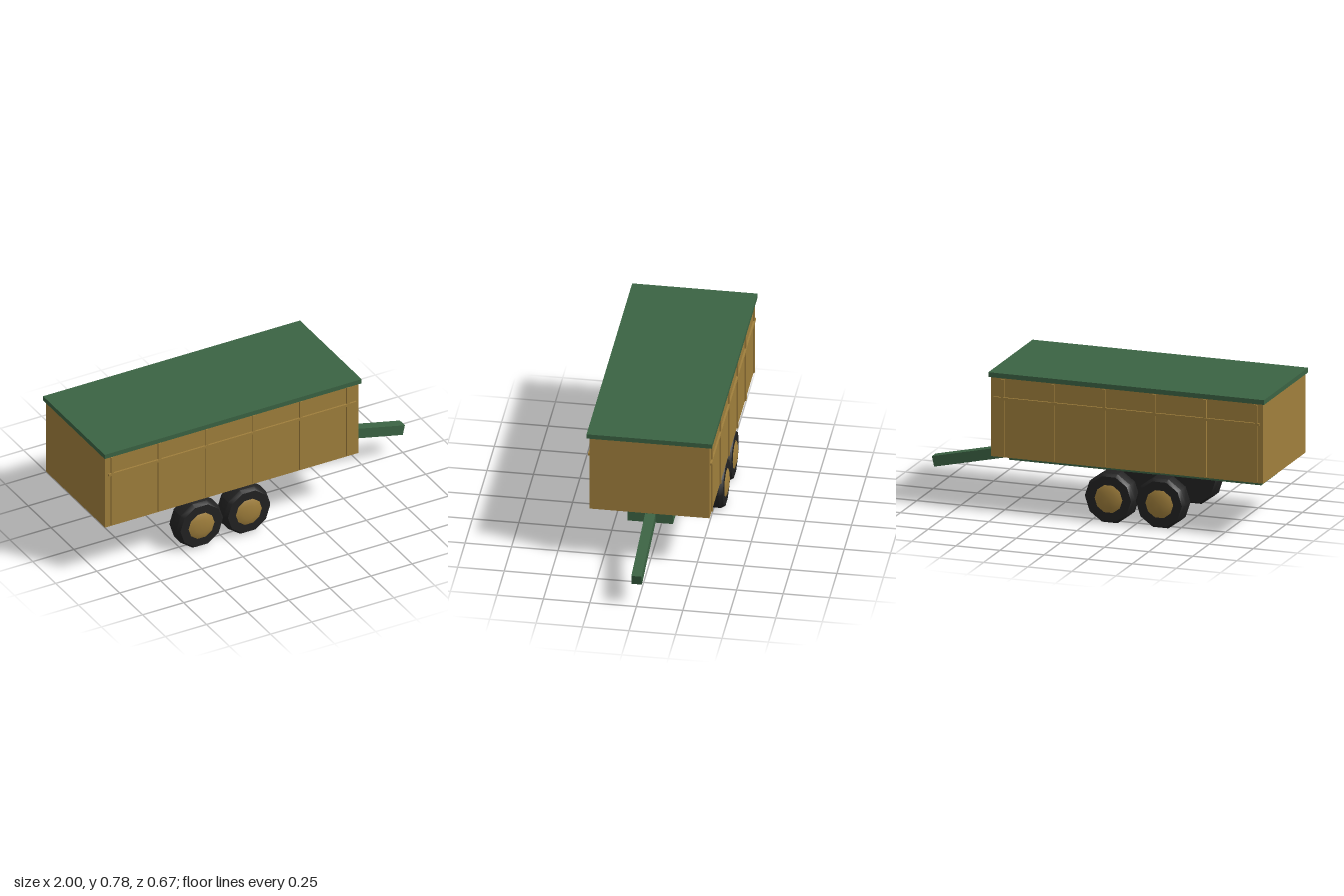
import * as THREE from 'three';
import { toCreasedNormals } from 'three/addons/utils/BufferGeometryUtils.js';

export function createModel() {
  const model = new THREE.Group();
  model.name = 'boxTrailer';

  const material = (name, color) => {
    const m = new THREE.MeshStandardMaterial({ color });
    m.name = name;
    return m;
  };
  const tan = material('tan', 0xa07f3c);
  const green = material('green', 0x3b6343);
  const black = material('tyre black', 0x222222);

  const add = (name, geometry, mat, parent = model) => {
    const mesh = new THREE.Mesh(geometry, mat);
    mesh.name = name;
    parent.add(mesh);
    return mesh;
  };
  // Box given by its lower and upper limits on each axis
  const box = (name, mat, x0, x1, y0, y1, z0, z1) => {
    const mesh = add(name, new THREE.BoxGeometry(x1 - x0, y1 - y0, z1 - z0), mat);
    mesh.position.set((x0 + x1) / 2, (y0 + y1) / 2, (z0 + z1) / 2);
    return mesh;
  };

  // Cargo body, lid and chassis
  box('cargoBody', tan, -0.99, 0.552, 0.311, 0.751, -0.323, 0.323);
  box('lid', green, -1, 0.562, 0.751, 0.777, -0.337, 0.337);
  box('chassis', green, -0.905, 0.525, 0.24, 0.298, -0.122, 0.122);

  // Sloping drawbar
  const start = new THREE.Vector2(0.507, 0.268);
  const end = new THREE.Vector2(0.991, 0.159);
  const drawbar = add('drawbar', new THREE.BoxGeometry(start.distanceTo(end), 0.058, 0.055), green);
  drawbar.position.set((start.x + end.x) / 2, (start.y + end.y) / 2, 0);
  drawbar.rotation.z = Math.atan2(end.y - start.y, end.x - start.x);

  // Upright ribs and one long rail on each side
  for (const s of [-1, 1]) {
    const zLow = s > 0 ? 0.315 : -0.331;
    for (let i = 0; i < 6; i++) {
      const x = -0.948 + i * 0.2865;
      box('sideRib', tan, x - 0.009, x + 0.009, 0.318, 0.743, zLow, zLow + 0.016);
    }
    const railLow = s > 0 ? 0.315 : -0.333;
    box('sideRail', tan, -0.972, 0.535, 0.629, 0.643, railLow, railLow + 0.018);
  }

  // Ten-sided wheel parts turned about z, with corners pointing along x
  const turned = (profile) => {
    const points = profile.map(([r, z]) => new THREE.Vector2(r, z));
    const geometry = new THREE.LatheGeometry(points, 10, Math.PI / 2);
    geometry.rotateX(Math.PI / 2);
    return toCreasedNormals(geometry, 0.75);
  };
  const tyre = turned([
    [0, -0.058], [0.128, -0.058], [0.142, -0.036],
    [0.142, 0.036], [0.128, 0.058], [0, 0.058],
  ]);
  const hub = turned([[0.081, 0.057], [0.068, 0.063], [0.042, 0.069], [0, 0.072]]);

  // Tandem wheels
  for (const x of [-0.397, -0.109]) {
    for (const s of [-1, 1]) {
      const wheel = new THREE.Group();
      wheel.name = 'wheel';
      add('tyre', tyre, black, wheel);
      add('hubCap', hub, tan, wheel);
      wheel.position.set(x, 0.136, s * 0.253);
      wheel.rotation.y = s > 0 ? 0 : Math.PI;
      model.add(wheel);
    }
  }
  return model;
}
